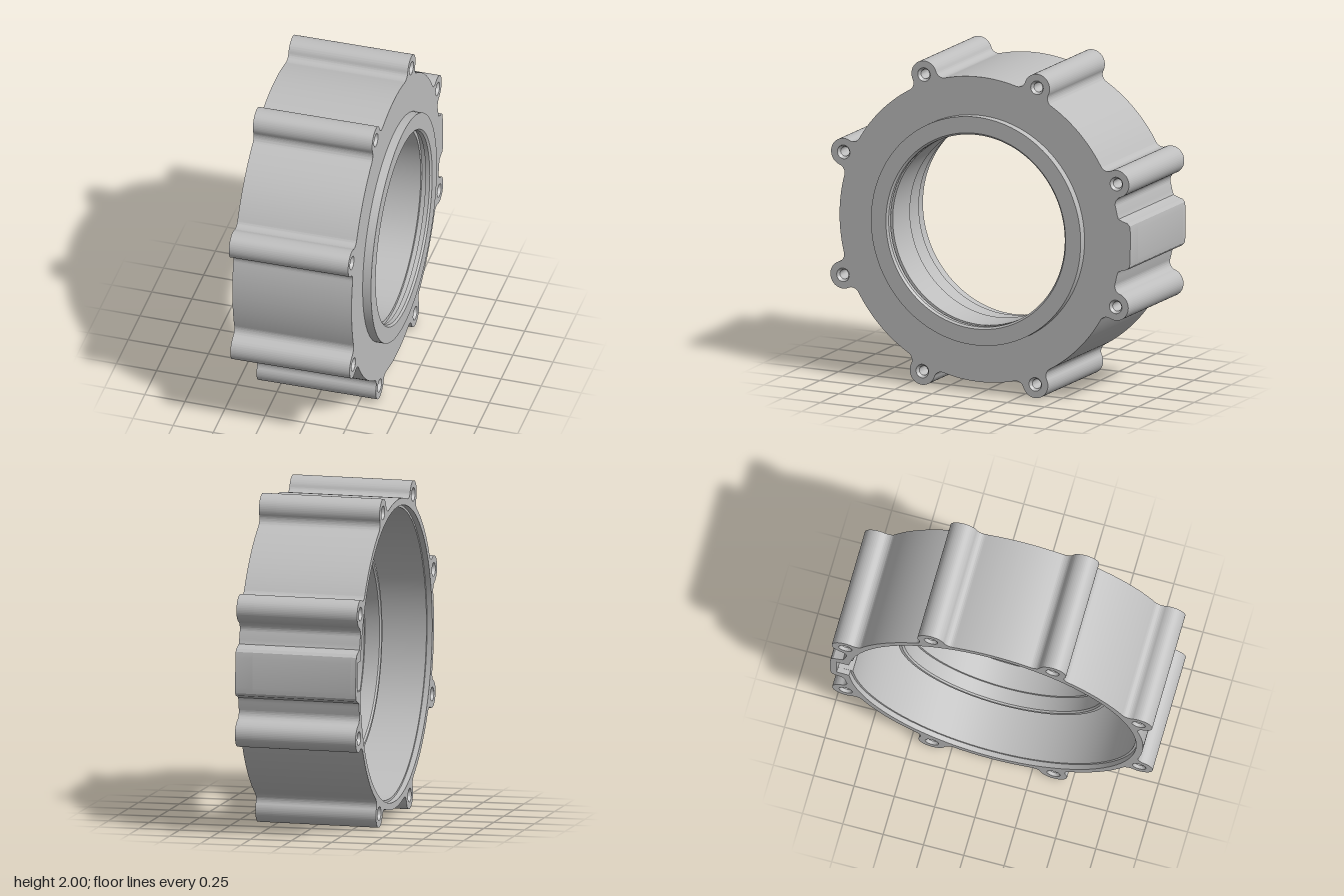
import * as THREE from 'three';
import { toCreasedNormals } from 'three/addons/utils/BufferGeometryUtils.js';

const BODY_R = 0.935, BOLT_R = 0.985, LUG_R = 0.084, FILLET = 0.05;
const BACK = -0.397, STEP = -0.365, FLOOR = 0.24, FACE = 0.346;
const boltAngles = Array.from({ length: 8 }, (_, i) => -Math.PI / 8 + i * Math.PI / 4);

// Round body outline with eight filleted bolt lugs and one side bulge
function outline() {
  const s = new THREE.Shape();
  const c = BODY_R + FILLET, l = LUG_R + FILLET;
  const gamma = Math.acos((c * c + BOLT_R * BOLT_R - l * l) / (2 * c * BOLT_R));
  let from = null;
  const bulge = [[0.925, 0.162], [0.955, 0.15], [0.985, 0.142], [1, 0.125], [1.005, 0.09]];
  boltAngles.forEach((a, i) => {
    const bx = BOLT_R * Math.cos(a), by = BOLT_R * Math.sin(a);
    const [f1, f2] = [a - gamma, a + gamma].map((t) => [c * Math.cos(t), c * Math.sin(t)]);
    const to1 = Math.atan2(by - f1[1], bx - f1[0]);
    const to2 = Math.atan2(by - f2[1], bx - f2[0]);
    if (i === 1) {
      s.absarc(0, 0, BODY_R, from, -0.2, false);
      bulge.forEach(([x, y]) => s.lineTo(x, -y));
      [...bulge].reverse().forEach(([x, y]) => s.lineTo(x, y));
      s.absarc(0, 0, BODY_R, 0.2, a - gamma, false);
    } else if (i > 1) {
      s.absarc(0, 0, BODY_R, from, a - gamma, false);
    }
    s.absarc(f1[0], f1[1], FILLET, a - gamma + Math.PI, to1, true);
    s.absarc(bx, by, LUG_R, to1 + Math.PI, to2 + Math.PI, false);
    s.absarc(f2[0], f2[1], FILLET, to2, a + gamma + Math.PI, true);
    from = a + gamma;
  });
  s.absarc(0, 0, BODY_R, from, boltAngles[0] - gamma + 2 * Math.PI, false);
  return s;
}

function circle(x, y, r) {
  return new THREE.Path().absarc(x, y, r, 0, Math.PI * 2, true);
}

// Cavity edge with a pocket reaching into the bulge
function cavity(r) {
  const p = new THREE.Path();
  const a = 0.1;
  p.absarc(0, 0, r, a, Math.PI * 2 - a, false);
  p.lineTo(0.965, -r * Math.sin(a));
  p.lineTo(0.965, r * Math.sin(a));
  p.closePath();
  return p;
}

export function createModel() {
  const metal = new THREE.MeshStandardMaterial({ color: 0xbebebe });
  metal.name = 'cast grey';
  const model = new THREE.Group();
  model.name = 'bearingHousing';
  const housing = new THREE.Group();
  housing.name = 'housing';
  housing.position.set(0, 1, 0.01);
  housing.rotation.z = 0.0125;
  model.add(housing);

  const add = (name, geometry, crease) => {
    const mesh = new THREE.Mesh(toCreasedNormals(geometry, crease), metal);
    mesh.name = name;
    housing.add(mesh);
    return mesh;
  };

  // Slab of the outline between two stations along x
  const slab = (name, x0, x1, inner) => {
    const s = outline();
    s.holes.push(inner);
    boltAngles.forEach((a) => s.holes.push(circle(BOLT_R * Math.cos(a), BOLT_R * Math.sin(a), 0.042)));
    const g = new THREE.ExtrudeGeometry(s, { depth: x1 - x0, bevelEnabled: false, curveSegments: 40 });
    g.rotateY(Math.PI / 2).translate(x0, 0, 0);
    add(name, g, 0.55);
  };
  slab('openRim', BACK, STEP, cavity(0.893));
  slab('outerWall', STEP, FLOOR, cavity(0.878));
  slab('frontPlate', FLOOR, FACE, circle(0, 0, 0.63));

  // Turned surface about the x axis, profile points are [radius, x]
  const turned = (points, segments) => new THREE.LatheGeometry(
    points.map(([r, x]) => new THREE.Vector2(r, x)), segments).rotateZ(-Math.PI / 2);

  // Raised front ring, inner hub and stepped bore
  add('hubAndBore', turned([
    [0.65, -0.15], [0.65, 0.3], [0.7, 0.3], [0.7, 0.398], [0.6, 0.398], [0.588, 0.386],
    [0.588, 0.36], [0.612, 0.36], [0.612, 0.33], [0.588, 0.33], [0.588, 0.1], [0.603, 0.1],
    [0.603, -0.05], [0.62, -0.05], [0.62, -0.14], [0.63, -0.15], [0.65, -0.15],
  ], 128), 0.4);

  // Chamfered blind bolt holes at both ends of each lug
  const socket = [[0.042, 0], [0.029, -0.018], [0.029, -0.12], [0, -0.135]];
  boltAngles.forEach((a) => {
    for (const front of [true, false]) {
      const g = turned(socket, 24);
      if (!front) g.rotateY(Math.PI);
      g.translate(front ? FACE : BACK, BOLT_R * Math.sin(a), -BOLT_R * Math.cos(a));
      add(front ? 'frontBoltHole' : 'backBoltHole', g, 0.5);
    }
  });
  return model;
}
